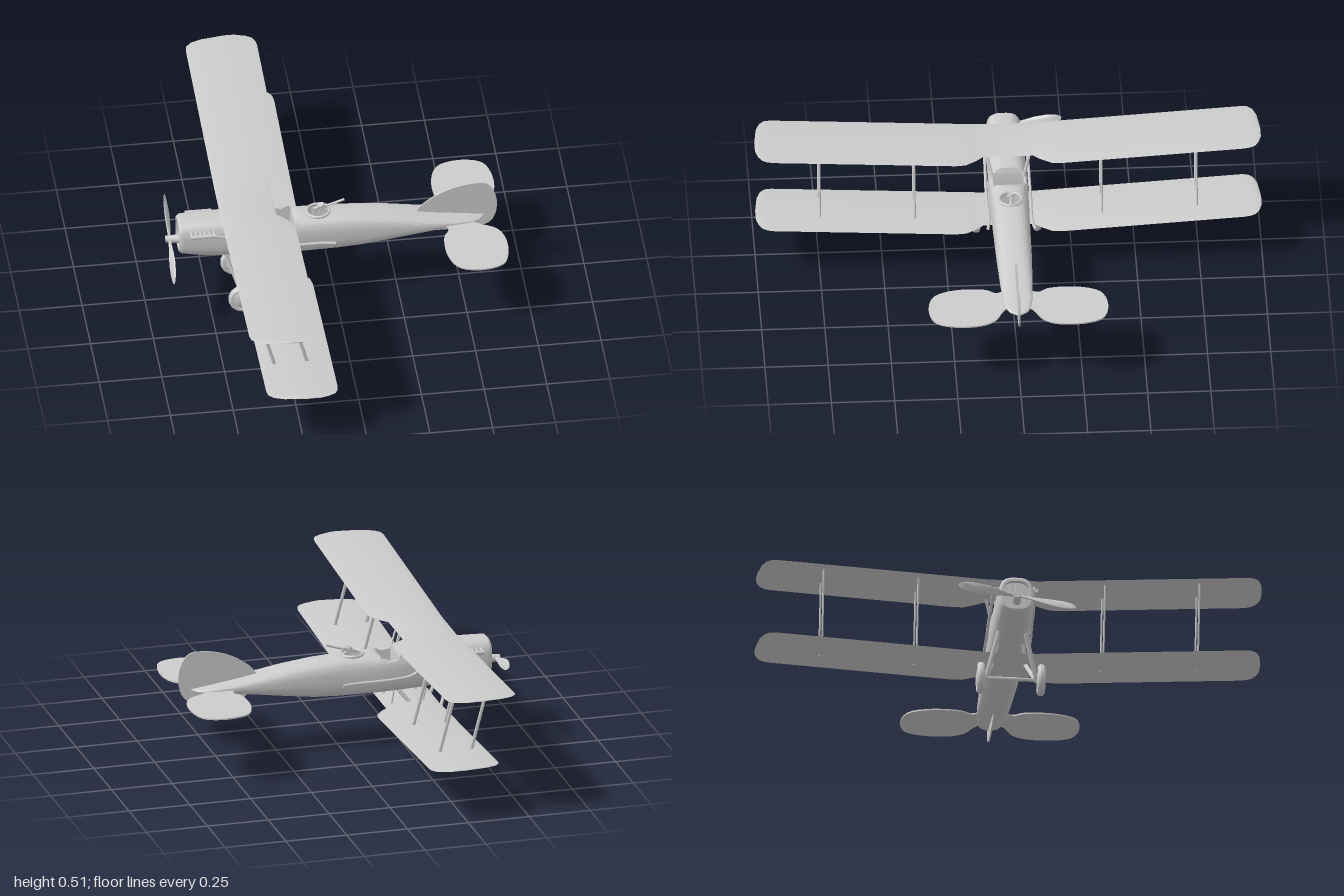
import * as THREE from 'three';
import { toCreasedNormals } from 'three/addons/utils/BufferGeometryUtils.js';

const mat = new THREE.MeshStandardMaterial({ color: 0xcccccc, side: THREE.DoubleSide });
const V = (x, y, z) => new THREE.Vector3(x, y, z);

function add(parent, name, geo) {
  const m = new THREE.Mesh(geo, mat);
  m.name = name;
  parent.add(m);
  return m;
}

// Linear lookup in rows of [key, value, value, ...]
function lookup(rows, k) {
  let i = 0;
  while (i < rows.length - 2 && k > rows[i + 1][0]) i++;
  const a = rows[i], b = rows[i + 1];
  const t = THREE.MathUtils.clamp((k - a[0]) / (b[0] - a[0]), 0, 1);
  return a.map((v, j) => v + (b[j] - v) * t);
}

// Skin over closed cross-sections, capped at both ends and always facing outward
function loft(sections, crease = 0.7) {
  const n = sections[0].length, pts = sections.flat(), faces = [];
  for (let i = 0; i < sections.length - 1; i++) {
    for (let j = 0; j < n; j++) {
      const a = i * n + j, b = i * n + (j + 1) % n;
      faces.push([a, b, b + n], [a, b + n, a + n]);
    }
  }
  const last = (sections.length - 1) * n;
  for (let j = 1; j < n - 1; j++) faces.push([0, j + 1, j], [last, last + j, last + j + 1]);
  let volume = 0;
  for (const [a, b, c] of faces) volume += pts[a].dot(pts[b].clone().cross(pts[c]));
  if (volume < 0) faces.forEach((f) => f.reverse());
  const g = new THREE.BufferGeometry().setFromPoints(pts);
  g.setIndex(faces.flat());
  return toCreasedNormals(g, crease);
}

// Streamlined strut between two points
function strut(parent, name, a, b, chord = 0.007, thick = 0.004) {
  const d = b.clone().sub(a);
  const g = new THREE.CylinderGeometry(1, 1, d.length(), 10);
  g.scale(chord, 1, thick);
  const m = add(parent, name, g);
  m.quaternion.setFromUnitVectors(V(0, 1, 0), d.normalize());
  m.position.copy(a).add(b).multiplyScalar(0.5);
  return m;
}

// Rows: x, top, bottom, half width
const BODY = [
  [-0.62, 0.385, 0.255, 0.06], [-0.61, 0.394, 0.246, 0.067], [-0.53, 0.397, 0.23, 0.072],
  [-0.4, 0.396, 0.22, 0.076], [-0.24, 0.392, 0.213, 0.078], [-0.15, 0.377, 0.212, 0.077],
  [0, 0.375, 0.213, 0.074], [0.1, 0.369, 0.218, 0.072], [0.22, 0.354, 0.235, 0.07],
  [0.4, 0.322, 0.264, 0.064], [0.5, 0.308, 0.278, 0.058], [0.55, 0.301, 0.283, 0.05],
  [0.58, 0.297, 0.285, 0.036], [0.6, 0.294, 0.287, 0.006]];

function bodySection(x, scale = 1, atX = x) {
  const [, top, bottom, w] = lookup(BODY, x), pts = [];
  const cy = (top + bottom) / 2, h = (top - bottom) / 2;
  for (let j = 0; j < 64; j++) {
    const t = j / 64 * Math.PI * 2, c = Math.cos(t), s = Math.sin(t);
    const p = 2 / 2.9;
    const z = Math.sign(c) * Math.abs(c) ** p * w * scale;
    let y = cy + Math.sign(s) * Math.abs(s) ** p * h * scale;
    // Pilot's cockpit: lowered rim and a deep well
    if (x > -0.246 && x < -0.15) {
      y = Math.min(y, lookup([[-0.245, 0.392], [-0.235, 0.358], [-0.2, 0.352], [-0.15, 0.377]], x)[1]);
      if (x > -0.236 && x < -0.164 && s > 0 && Math.abs(z) < 0.06) y = 0.28;
    }
    // Gunner's round well
    if (s > 0 && Math.hypot(x + 0.06, z) < 0.041) y = 0.3;
    pts.push(V(atX, y, z));
  }
  return pts;
}

function buildFuselage(root) {
  const xs = [...BODY.map((r) => r[0]), -0.246, -0.237, -0.235, -0.165, -0.163];
  for (let i = 0; i < 45; i++) xs.push(-0.6 + i * 0.025);
  for (let i = 0; i < 24; i++) xs.push(-0.106 + i * 0.004);
  xs.sort((a, b) => a - b);
  // The first two sections form the recessed radiator face
  const sections = [bodySection(-0.62, 0.86, -0.6), bodySection(-0.62, 0.86),
    ...xs.map((x) => bodySection(x))];
  add(root, 'fuselage', loft(sections, 0.6));
  for (let i = -3; i <= 3; i++) {
    add(root, 'radiatorSlat', new THREE.BoxGeometry(0.004, 0.1, 0.003)).position.set(-0.603, 0.32, i * 0.013);
  }
}

// Wing rows: |z|, leading x, trailing x
const WING = [
  [0, -0.46, -0.24], [0.1, -0.46, -0.24], [0.125, -0.46, -0.215], [0.17, -0.46, -0.183],
  [0.21, -0.46, -0.176], [0.93, -0.46, -0.176], [0.955, -0.455, -0.18], [0.975, -0.435, -0.19],
  [0.99, -0.395, -0.215], [1, -0.31, -0.25]];

function wing(root, name, dx, y0) {
  const rows = [...WING.slice(1).reverse().map(([z, a, b]) => [-z, a, b]), ...WING];
  const sections = rows.map(([z, lead, trail]) => {
    const y = y0 + Math.max(0, Math.abs(z) - 0.1) * 0.06;
    const thick = 0.005 * (1 - 0.6 * Math.abs(z)), pts = [];
    for (let j = 0; j < 20; j++) {
      const t = j / 20 * Math.PI * 2, u = (1 - Math.cos(t)) / 2;
      const camber = 0.006 * Math.sin(Math.PI * u) * (trail - lead) / 0.285;
      pts.push(V(dx + lead + (trail - lead) * u, y + camber + thick * Math.sin(t) * (1 - 0.6 * u), z));
    }
    return pts;
  });
  add(root, name, loft(sections, 0.9));
}

// Thin rounded tail surface drawn in the plane of its outline
function panel(root, name, outline) {
  const curve = new THREE.CatmullRomCurve3(outline.map(([x, y]) => V(x, y, 0)), true);
  const shape = new THREE.Shape(curve.getPoints(70).map((p) => new THREE.Vector2(p.x, p.y)));
  const g = new THREE.ExtrudeGeometry(shape, { depth: 0.006, bevelEnabled: false });
  g.translate(0, 0, -0.003);
  return add(root, name, g);
}

function buildTail(root) {
  panel(root, 'finAndRudder', [[0.335, 0.335], [0.41, 0.403], [0.49, 0.437], [0.56, 0.448],
    [0.605, 0.444], [0.635, 0.413], [0.652, 0.36], [0.648, 0.298], [0.627, 0.255], [0.58, 0.237],
    [0.49, 0.232], [0.38, 0.241], [0.36, 0.28]]);
  for (const s of [1, -1]) {
    const p = panel(root, 'tailplane', [[0.44, 0.04], [0.45, 0.085], [0.427, 0.125], [0.425, 0.25],
      [0.462, 0.33], [0.55, 0.355], [0.635, 0.33], [0.664, 0.26], [0.663, 0.155], [0.635, 0.098],
      [0.57, 0.06], [0.53, 0.03]].map(([x, z]) => [x, z * s]));
    p.rotation.x = Math.PI / 2;
    p.position.y = 0.29;
  }
}

function buildPropeller(root) {
  const prop = new THREE.Group();
  prop.name = 'propeller';
  const rows = [[0.008, 0.006, 0.005], [0.04, 0.008, 0.005], [0.08, 0.014, 0.004], [0.13, 0.02, 0.0035],
    [0.18, 0.021, 0.003], [0.215, 0.016, 0.002], [0.23, 0.009, 0.0015], [0.236, 0.002, 0.001]];
  const sections = rows.map(([r, c, th]) => Array.from({ length: 14 }, (_, j) => {
    const t = j / 14 * Math.PI * 2, pitch = 0.9 - r * 2.4;
    const u = c * Math.cos(t), v = th * Math.sin(t);
    return V(u * Math.sin(pitch) - v * Math.cos(pitch), u * Math.cos(pitch) + v * Math.sin(pitch), r);
  }));
  const blade = loft(sections, 0.9);
  for (const a of [0, Math.PI]) add(prop, 'propellerBlade', blade).rotation.x = a;
  const hub = add(prop, 'propellerHub', new THREE.CylinderGeometry(0.014, 0.018, 0.065, 16));
  hub.rotation.z = Math.PI / 2;
  hub.position.x = 0.016;
  prop.rotation.set(0.19, -0.05, 0, 'YXZ');
  prop.position.set(-0.651, 0.296, 0);
  root.add(prop);
}

function buildSide(root, s) {
  // Interplane, cabane and lower wing struts
  for (const dx of [0, 0.13]) {
    for (const z of [0.37, 0.745]) {
      const rise = (z - 0.1) * 0.06;
      strut(root, 'interplaneStrut', V(-0.41 + dx, 0.454 + rise, z * s), V(-0.335 + dx, 0.17 + rise, z * s));
    }
    strut(root, 'cabaneStrut', V(-0.405 + dx, 0.453, 0.09 * s), V(-0.41 + dx * 1.35, 0.355, 0.062 * s));
    strut(root, 'lowerWingStrut', V(-0.35 + dx, 0.23, 0.05 * s), V(-0.335 + dx, 0.17, 0.06 * s));
  }
  // Undercarriage legs and wheel
  strut(root, 'frontLeg', V(-0.44, 0.25, 0.05 * s), V(-0.375, 0.06, 0.1 * s), 0.009, 0.007);
  strut(root, 'rearLeg', V(-0.24, 0.22, 0.05 * s), V(-0.365, 0.06, 0.1 * s), 0.009, 0.007);
  const profile = [[0, 0.02], [0.035, 0.014], [0.044, 0.009], [0.047, 0.015], [0.056, 0.014], [0.063, 0.006],
    [0.063, -0.006], [0.056, -0.014], [0.047, -0.015], [0.044, -0.009], [0.035, -0.014], [0, -0.02]];
  const tyre = new THREE.LatheGeometry(profile.map(([r, h]) => new THREE.Vector2(r, -h)), 14);
  const wheel = add(root, 'wheel', toCreasedNormals(tyre, 0.6));
  wheel.rotation.x = Math.PI / 2;
  wheel.position.set(-0.37, 0.064, 0.12 * s);
  // Exhaust manifold, stubs and long pipe
  const path = new THREE.CatmullRomCurve3([V(-0.58, 0.355, 0.084 * s), V(-0.48, 0.355, 0.084 * s),
    V(-0.41, 0.333, 0.085 * s), V(-0.33, 0.318, 0.086 * s), V(-0.28, 0.29, 0.087 * s),
    V(-0.2, 0.281, 0.087 * s), V(-0.05, 0.278, 0.085 * s), V(0, 0.277, 0.092 * s)]);
  add(root, 'exhaustPipe', new THREE.TubeGeometry(path, 60, 0.006, 8));
  strut(root, 'exhaustManifold', V(-0.58, 0.356, 0.082 * s), V(-0.475, 0.356, 0.082 * s), 0.009, 0.009);
  for (let i = 0; i < 6; i++) {
    strut(root, 'exhaustStub', V(-0.573 + i * 0.018, 0.366, 0.06 * s), V(-0.573 + i * 0.018, 0.356, 0.084 * s), 0.005, 0.005);
  }
}

function buildGun(root) {
  const ring = add(root, 'gunRing', new THREE.TorusGeometry(0.044, 0.006, 8, 32));
  ring.rotation.x = Math.PI / 2;
  ring.position.set(-0.06, 0.376, 0);
  const gun = new THREE.Group();
  gun.name = 'gun';
  add(gun, 'gunBody', new THREE.BoxGeometry(0.055, 0.014, 0.012));
  strut(gun, 'gunBarrel', V(0.02, 0, 0), V(0.1, 0.002, 0), 0.005, 0.005);
  strut(gun, 'gunGrip', V(-0.025, 0, 0), V(-0.034, -0.018, 0), 0.004, 0.004);
  const drum = add(gun, 'gunDrum', new THREE.CylinderGeometry(0.014, 0.014, 0.008, 16));
  drum.position.set(0.005, 0.011, 0);
  gun.position.set(-0.05, 0.391, 0);
  gun.rotation.z = 0.29;
  root.add(gun);
  strut(root, 'gunMount', V(-0.05, 0.39, 0), V(-0.02, 0.374, 0), 0.006, 0.006);
}

export function createModel() {
  const root = new THREE.Group();
  root.name = 'biplane';
  buildFuselage(root);
  wing(root, 'upperWing', 0, 0.452);
  wing(root, 'lowerWing', 0.068, 0.168);
  buildTail(root);
  buildPropeller(root);
  buildGun(root);
  for (const s of [1, -1]) buildSide(root, s);
  strut(root, 'axle', V(-0.37, 0.064, -0.12), V(-0.37, 0.064, 0.12), 0.008, 0.008);
  return root;
}
